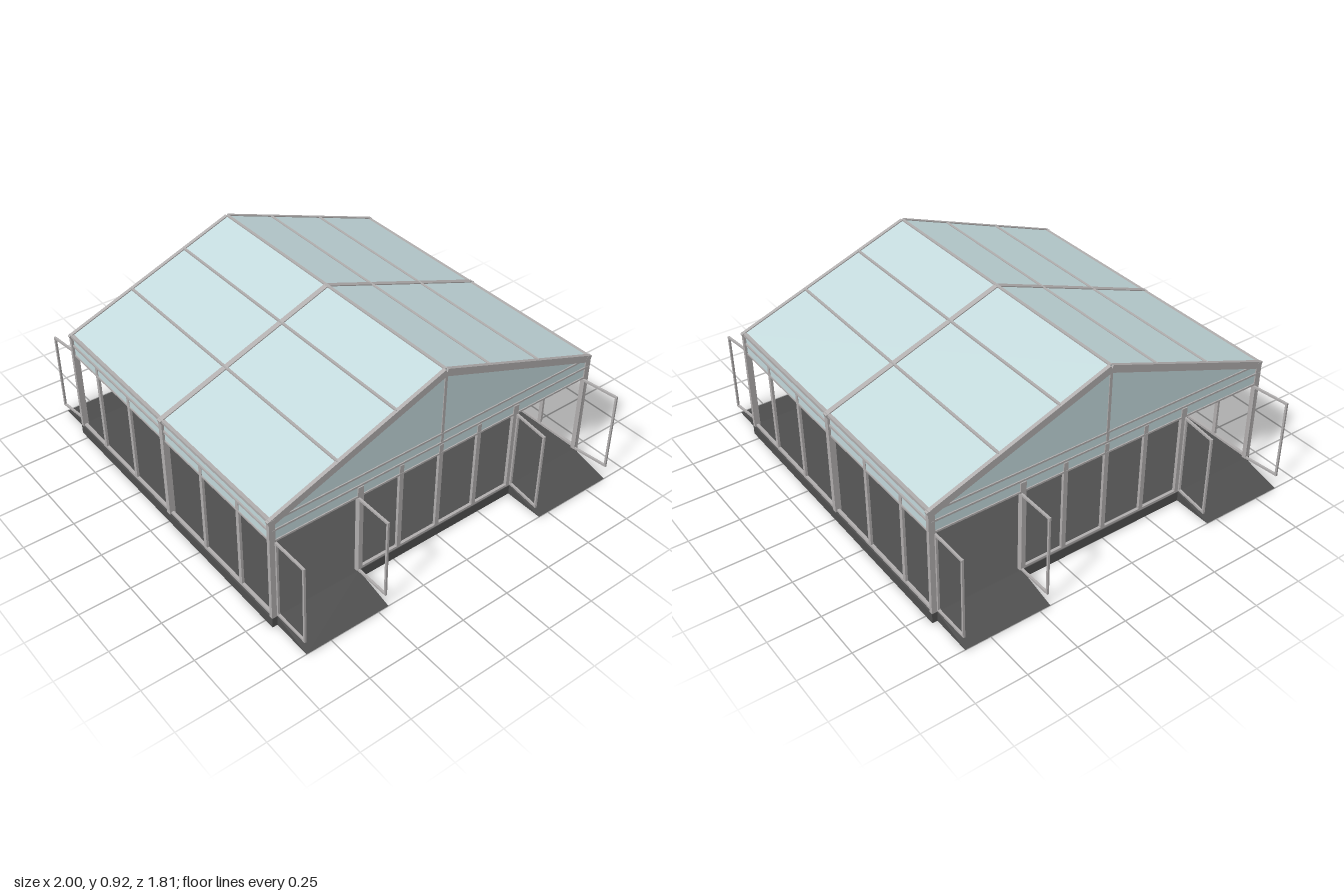
import * as THREE from 'three';

const frameMat = new THREE.MeshStandardMaterial({ color: 0xb2afaf });
frameMat.name = 'grey aluminium';
const panelMat = new THREE.MeshStandardMaterial({ color: 0xc4dadd, side: THREE.DoubleSide });
panelMat.name = 'pale blue canvas';
const floorMat = new THREE.MeshStandardMaterial({ color: 0x505050 });
floorMat.name = 'dark floor';

const FLOOR = 0.05, DOOR_TOP = 0.47, X = 0.79, Z = 0.885;
// centre line of the rafters
const roofY = (z) => 0.9 - (0.325 * Math.abs(z)) / Z;

function box(parent, name, mat, w, h, d, x, y, z) {
  const m = new THREE.Mesh(new THREE.BoxGeometry(w, h, d), mat);
  m.name = name;
  m.position.set(x, y, z);
  parent.add(m);
  return m;
}

// bar from a to b, w wide and h high
function bar(parent, name, mat, w, h, a, b) {
  const from = new THREE.Vector3(...a), to = new THREE.Vector3(...b);
  const m = new THREE.Mesh(new THREE.BoxGeometry(w, h, from.distanceTo(to)), mat);
  m.name = name;
  m.position.copy(from).lerp(to, 0.5);
  m.lookAt(to);
  parent.add(m);
  return m;
}

function post(parent, name, w, d, x, z, top) {
  return box(parent, name, frameMat, w, top - FLOOR, d, x, (FLOOR + top) / 2, z);
}

// wedge sloping down to the ground on the +x side
function ramp(side, z) {
  const s = new THREE.Shape();
  s.moveTo(0.8, 0);
  s.lineTo(1.0, 0);
  s.lineTo(0.8, FLOOR);
  s.closePath();
  const m = new THREE.Mesh(new THREE.ExtrudeGeometry(s, { depth: 0.43, bevelEnabled: false }).translate(0, 0, -0.215), floorMat);
  m.name = 'ramp';
  m.rotation.y = side > 0 ? 0 : Math.PI;
  m.position.z = z;
  return m;
}

// open door leaf: a rectangular frame hinged at its inner edge
function doorLeaf(angle) {
  const g = new THREE.Group();
  g.name = 'doorLeaf';
  const L = 0.19, lo = 0.056, hi = 0.468, t = 0.01;
  for (const x of [t / 2, L - t / 2]) box(g, 'doorStile', frameMat, t, hi - lo, t, x, (lo + hi) / 2, 0);
  for (const y of [lo + t / 2, hi - t / 2]) box(g, 'doorRail', frameMat, L - 2 * t, t, t, L / 2, y, 0);
  g.rotation.y = angle;
  return g;
}

function gablePanel(x) {
  const s = new THREE.Shape();
  s.moveTo(-Z, DOOR_TOP);
  s.lineTo(Z, DOOR_TOP);
  s.lineTo(Z, roofY(Z));
  s.lineTo(0, roofY(0));
  s.lineTo(-Z, roofY(Z));
  s.closePath();
  const g = new THREE.ExtrudeGeometry(s, { depth: 0.006, bevelEnabled: false });
  g.translate(0, 0, -0.003).rotateY(Math.PI / 2);
  const m = new THREE.Mesh(g, panelMat);
  m.name = 'gablePanel';
  m.position.x = x;
  return m;
}

export function createModel() {
  const model = new THREE.Group();
  model.name = 'marquee';

  // floor
  box(model, 'floor', floorMat, 1.6, FLOOR, 1.8, 0, FLOOR / 2, 0);

  // three portal frames: posts and rafters
  for (const x of [-X, 0, X]) {
    const w = x ? 0.018 : 0.026;
    for (const s of [-1, 1]) {
      post(model, 'mainPost', w, 0.03, x, s * Z, roofY(Z));
      bar(model, 'rafter', frameMat, w, 0.035, [x, roofY(0.9), s * 0.9], [x, roofY(0), 0]);
    }
  }

  // roof canvas, purlins and ridge
  bar(model, 'ridge', frameMat, 0.014, 0.016, [-X, 0.909, 0], [X, 0.909, 0]);
  for (const s of [-1, 1]) {
    bar(model, 'roofPanel', panelMat, 1.58, 0.005, [0, roofY(0.895) + 0.011, s * 0.895], [0, 0.911, 0]);
    for (const z of [0.255, 0.555])
      bar(model, 'purlin', frameMat, 0.012, 0.016, [-X, roofY(z) + 0.011, s * z], [X, roofY(z) + 0.011, s * z]);
  }

  // long walls: canvas band, rails and mullions
  for (const s of [-1, 1]) {
    box(model, 'eavePanel', panelMat, 1.58, 0.115, 0.006, 0, 0.53, s * Z);
    box(model, 'bottomRail', frameMat, 1.58, 0.012, 0.014, 0, 0.056, s * Z);
    box(model, 'topRail', frameMat, 1.58, 0.008, 0.014, 0, 0.474, s * Z);
    box(model, 'bandRail', frameMat, 1.6, 0.01, 0.02, 0, 0.53, s * Z);
    box(model, 'eaveRail', frameMat, 1.6, 0.014, 0.026, 0, 0.583, s * Z);
    for (const x of [-0.575, -0.295, 0.29, 0.56]) post(model, 'mullion', 0.02, 0.012, x, s * Z, 0.52);
  }

  // gable walls: canvas, rails, king post and mullions
  for (const s of [-1, 1]) {
    const x = s * X;
    model.add(gablePanel(x));
    box(model, 'gableBottomRail', frameMat, 0.014, 0.012, 0.88, x, 0.056, 0);
    for (const y of [0.474, 0.53, 0.58])
      box(model, 'gableRail', frameMat, 0.016, 0.009, 1.76, x, y, 0);
    box(model, 'kingPost', frameMat, 0.014, 0.37, 0.014, x, 0.715, 0);
    for (const z of [-0.22, 0, 0.22]) post(model, 'gableMullion', 0.014, 0.022, x, z, 0.52);
    for (const z of [-0.44, 0.44]) post(model, 'doorPost', 0.016, 0.03, x, z, 0.52);
  }

  // four doorways, each with a ramp and two open leaves
  for (const sx of [-1, 1])
    for (const sz of [-1, 1]) {
      model.add(ramp(sx, sz * 0.66));
      const splay = sx * sz < 0 ? 0.11 : 0;
      for (const [z, out] of [[0.45, -1], [0.87, 1]]) {
        const dir = sz * out;
        const leaf = doorLeaf(sx > 0 ? -dir * splay : Math.PI + dir * splay);
        leaf.position.set(sx * 0.798, 0, sz * z);
        model.add(leaf);
      }
    }

  return model;
}
